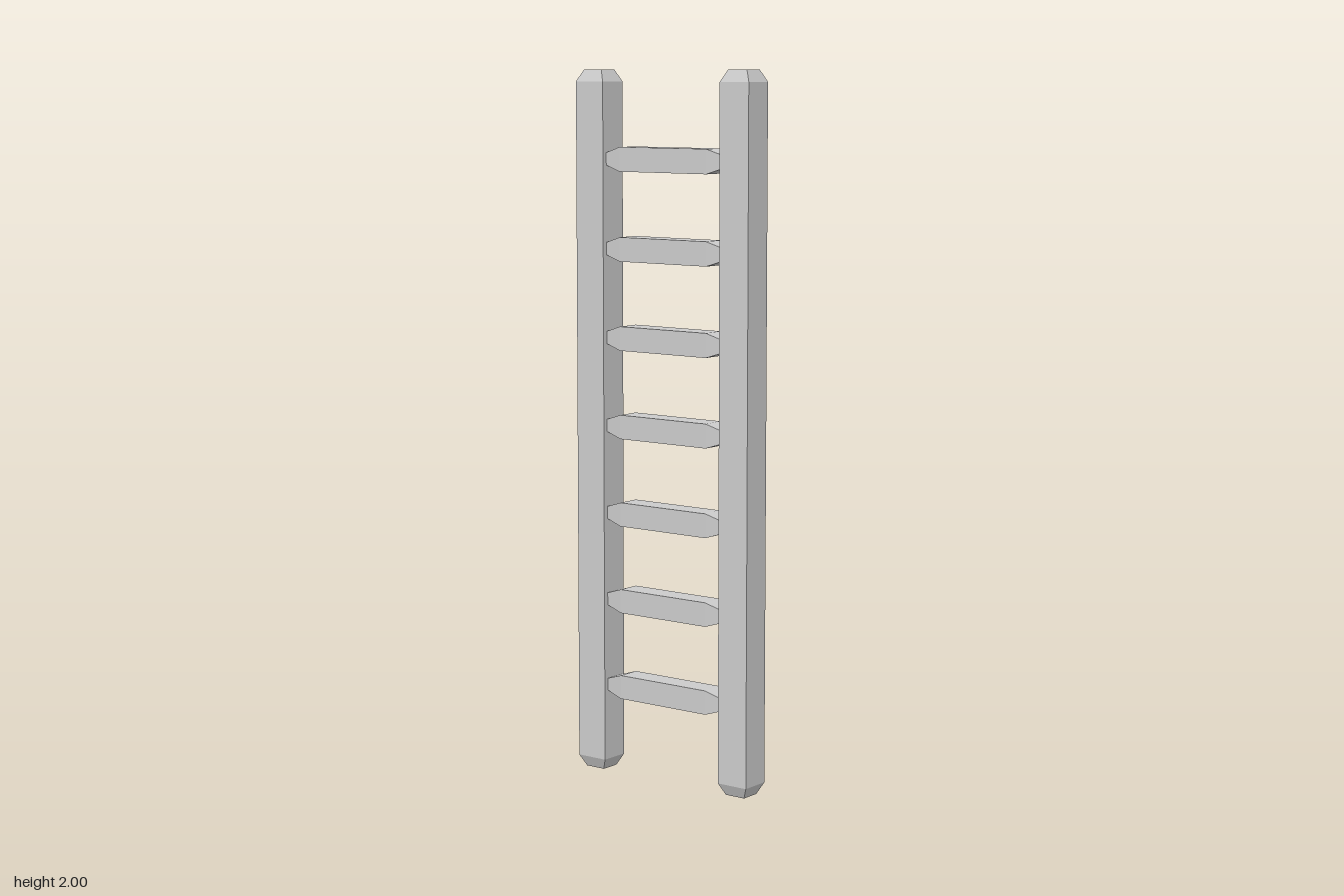
import * as THREE from 'three';

const material = new THREE.MeshStandardMaterial({ color: 0xcccccc, flatShading: true });

// Square bar along y, centred, whose two ends taper to a smaller section
function taperedBar(length, width, depth, taper, endWidth, endDepth) {
  const geometry = new THREE.BoxGeometry(1, 3, 1, 1, 3, 1).toNonIndexed();
  const p = geometry.attributes.position;
  for (let i = 0; i < p.count; i++) {
    const end = Math.abs(p.getY(i)) > 1;
    p.setXYZ(
      i,
      p.getX(i) * (end ? endWidth : width),
      Math.sign(p.getY(i)) * (length / 2 - (end ? 0 : taper)),
      p.getZ(i) * (end ? endDepth : depth)
    );
  }
  geometry.computeVertexNormals();
  return geometry;
}

export function createModel() {
  const ladder = new THREE.Group();
  ladder.name = 'ladder';

  // Upright side rails with chamfered ends
  const railGeometry = taperedBar(2, 0.096, 0.088, 0.033, 0.062, 0.058);
  for (const side of [-1, 1]) {
    const rail = new THREE.Mesh(railGeometry, material);
    rail.name = side > 0 ? 'leftRail' : 'rightRail';
    rail.position.set(side * 0.25, 1, 0);
    ladder.add(rail);
  }

  // Seven evenly spaced rungs, tapering into the rails
  const rungGeometry = taperedBar(0.408, 0.068, 0.07, 0.054, 0.034, 0.058).rotateZ(Math.PI / 2);
  for (let i = 1; i <= 7; i++) {
    const rung = new THREE.Mesh(rungGeometry, material);
    rung.name = `rung${i}`;
    rung.position.y = 0.25 * i + 0.003;
    ladder.add(rung);
  }

  return ladder;
}
